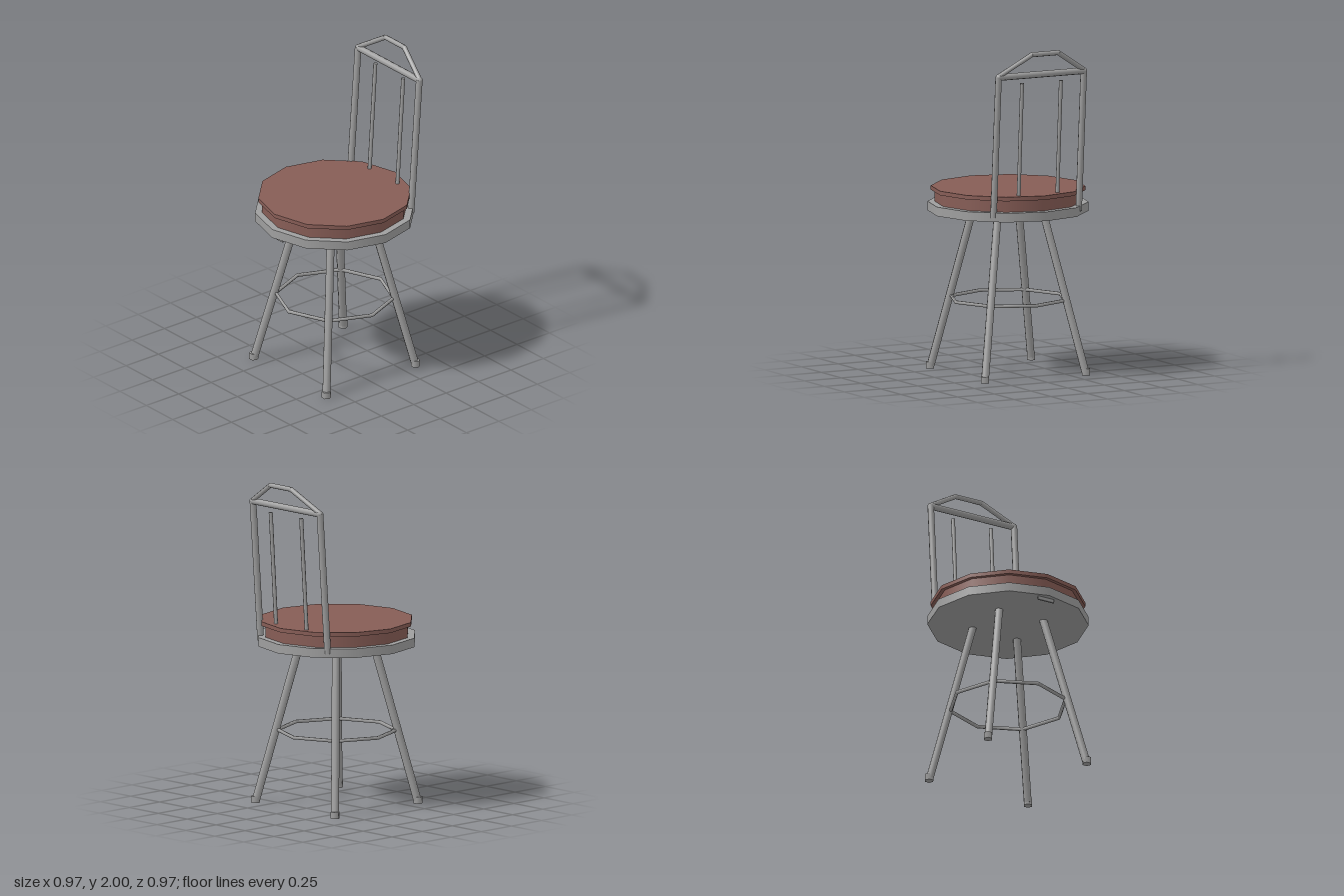
import * as THREE from 'three';

const metal = new THREE.MeshStandardMaterial({ color: 0x9f9f9f });
metal.name = 'grey metal';
const leather = new THREE.MeshStandardMaterial({ color: 0x875d56 });
leather.name = 'brown leather';

export function createModel() {
  const model = new THREE.Group();
  model.name = 'barStool';

  const add = (name, geometry, material = metal) => {
    const mesh = new THREE.Mesh(geometry, material);
    mesh.name = name;
    model.add(mesh);
    return mesh;
  };

  // Straight round bar between two points
  const bar = (name, from, to, radius, sides = 8) => {
    const a = new THREE.Vector3(...from);
    const b = new THREE.Vector3(...to);
    const dir = b.clone().sub(a);
    const mesh = add(name, new THREE.CylinderGeometry(radius, radius, dir.length(), sides));
    mesh.position.copy(a).add(b).multiplyScalar(0.5);
    mesh.quaternion.setFromUnitVectors(new THREE.Vector3(0, 1, 0), dir.normalize());
    return mesh;
  };

  // Twelve-sided disc with corners on the axes
  const disc = (name, radius, bottom, top, material) => {
    const mesh = add(name, new THREE.CylinderGeometry(radius, radius, top - bottom, 12), material);
    mesh.position.y = (bottom + top) / 2;
  };

  // Seat
  disc('seatBase', 0.483, 0.975, 1.03, metal);
  disc('seatCushion', 0.44, 1.03, 1.1, leather);
  disc('seatTop', 0.463, 1.1, 1.125, leather);

  // Small tab under the front edge
  add('frontTab', new THREE.BoxGeometry(0.11, 0.03, 0.01)).position.set(0, 0.968, 0.443);

  // Splayed legs with feet
  for (const x of [-1, 1]) {
    for (const z of [-1, 1]) {
      bar('leg', [x * 0.152, 0.99, z * 0.152], [x * 0.341, 0.02, z * 0.341], 0.024);
      const foot = add('foot', new THREE.CylinderGeometry(0.028, 0.028, 0.04, 6));
      foot.position.set(x * 0.344, 0.02, z * 0.344);
      foot.rotation.y = Math.PI / 6;
    }
  }

  // Octagonal foot rest
  const footRest = add('footRest', new THREE.TorusGeometry(0.355, 0.011, 6, 8));
  footRest.rotation.x = Math.PI / 2;
  footRest.position.y = 0.445;

  // Backrest uprights, spindles and sloping top rails
  for (const s of [-1, 1]) {
    bar('backUpright', [s * 0.29, 1.0, -0.353], [s * 0.29, 1.86, -0.417], 0.02);
    bar('backSpindle', [s * 0.132, 1.05, -0.372], [s * 0.132, 1.81, -0.421], 0.012);
    bar('slopingRail', [s * 0.29, 1.862, -0.418], [s * 0.09, 1.986, -0.464], 0.015);
    add('backCorner', new THREE.SphereGeometry(0.02, 8, 6)).position.set(s * 0.29, 1.857, -0.418);
    add('railCorner', new THREE.SphereGeometry(0.014, 8, 6)).position.set(s * 0.09, 1.986, -0.464);
  }
  bar('crossRail', [-0.29, 1.856, -0.418], [0.29, 1.856, -0.418], 0.02);
  bar('topRail', [-0.09, 1.986, -0.464], [0.09, 1.986, -0.464], 0.015);

  return model;
}
